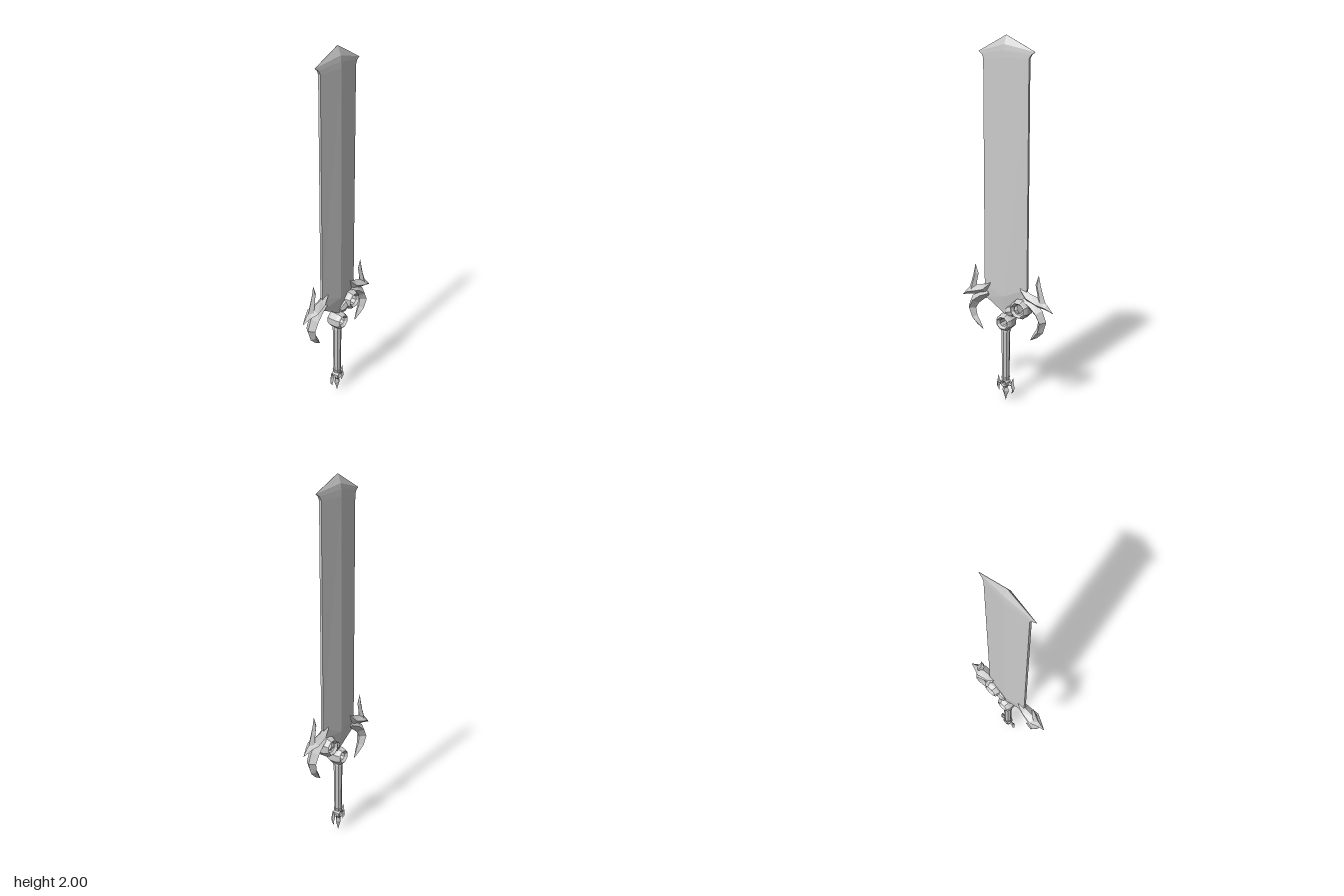
import * as THREE from 'three';

const material = new THREE.MeshStandardMaterial({ color: 0xcccccc, flatShading: true });

function part(name, geometry, x = 0, y = 0, z = 0) {
  const mesh = new THREE.Mesh(geometry, material);
  mesh.name = name;
  mesh.position.set(x, y, z);
  return mesh;
}

// Closed solid through equal-length loops of [x, y, z] points
function loft(loops) {
  const n = loops[0].length;
  const tris = [];
  for (let i = 0; i < loops.length - 1; i++) {
    for (let j = 0; j < n; j++) {
      const k = (j + 1) % n;
      const [a, b, c, d] = [loops[i][j], loops[i][k], loops[i + 1][k], loops[i + 1][j]];
      tris.push([a, b, c], [a, c, d]);
    }
  }
  const last = loops[loops.length - 1];
  for (let j = 1; j < n - 1; j++) {
    tris.push([loops[0][0], loops[0][j + 1], loops[0][j]], [last[0], last[j], last[j + 1]]);
  }
  // Turn the faces outward if the enclosed volume comes out negative
  const v = (p) => new THREE.Vector3(...p);
  const volume = tris.reduce((sum, [a, b, c]) => sum + v(a).dot(v(b).cross(v(c))), 0);
  if (volume < 0) tris.forEach((t) => t.reverse());
  const geometry = new THREE.BufferGeometry();
  geometry.setAttribute('position', new THREE.Float32BufferAttribute(tris.flat(2), 3));
  geometry.computeVertexNormals();
  return geometry;
}

// Diamond-section horn along [x, y, halfWidth, halfDepth] stations; side mirrors x
function horn(stations, side = 1) {
  return loft(stations.map(([x, y, w, d], i) => {
    const p = stations[Math.max(i - 1, 0)];
    const q = stations[Math.min(i + 1, stations.length - 1)];
    const length = Math.hypot(q[0] - p[0], q[1] - p[1]);
    const nx = -(q[1] - p[1]) / length * w;
    const ny = (q[0] - p[0]) / length * w;
    return [
      [side * (x + nx), y + ny, 0], [side * x, y, d],
      [side * (x - nx), y - ny, 0], [side * x, y, -d],
    ];
  }));
}

// Chamfered eight-sided ring with its hole along z
function ring(inner, outer, depth) {
  const mid = inner + (outer - inner) * 0.45;
  const profile = [
    [inner, -depth * 0.7], [mid, -depth], [outer - 0.008 * outer / 0.05, -depth * 0.9], [outer, -depth * 0.5],
    [outer, depth * 0.5], [outer - 0.008 * outer / 0.05, depth * 0.9], [mid, depth], [inner, depth * 0.7],
    [inner, -depth * 0.7],
  ].map(([r, y]) => new THREE.Vector2(r, y));
  return new THREE.LatheGeometry(profile, 8, Math.PI / 8).rotateX(Math.PI / 2);
}

function createBlade() {
  // [left x, left y, ridge y, ridge depth, right x, right y, edge half thickness]
  const rows = [
    [-0.13, 0.59, 0.515, 0.012, 0.125, 0.62, 0.005],
    [-0.138, 0.66, 0.62, 0.026, 0.135, 0.68, 0.007],
    [-0.138, 1.885, 1.89, 0.024, 0.138, 1.885, 0.007],
    [-0.15, 1.905, 1.925, 0.023, 0.15, 1.905, 0.005],
    [-0.172, 1.918, 1.955, 0.02, 0.172, 1.918, 0.001],
    [-0.002, 2, 2, 0.001, 0.002, 2, 0.001],
  ];
  return part('blade', loft(rows.map(([lx, ly, cy, d, rx, ry, e]) => [
    [lx, ly, -e], [lx, ly, e], [0, cy, d], [rx, ry, e], [rx, ry, -e], [0, cy, -d],
  ])));
}

function createWing(side) {
  const wing = new THREE.Group();
  wing.name = side > 0 ? 'leftGuardWing' : 'rightGuardWing';
  wing.add(
    part('wingSpike', horn([
      [0.292, 0.573, 0.001, 0.001], [0.25, 0.6, 0.016, 0.02], [0.21, 0.615, 0.026, 0.038],
      [0.14, 0.635, 0.026, 0.028], [0.105, 0.668, 0.018, 0.018], [0.075, 0.712, 0.001, 0.001],
    ], side)),
    part('lowerHorn', horn([
      [0.11, 0.615, 0.018, 0.018], [0.16, 0.595, 0.026, 0.028], [0.205, 0.56, 0.028, 0.034],
      [0.228, 0.512, 0.025, 0.032], [0.213, 0.458, 0.021, 0.024], [0.185, 0.425, 0.015, 0.014],
      [0.155, 0.393, 0.001, 0.001],
    ], side)),
    part('upperProng', horn([
      [0.225, 0.61, 0.025, 0.02], [0.213, 0.665, 0.017, 0.015],
      [0.2, 0.715, 0.016, 0.011], [0.204, 0.766, 0.001, 0.001],
    ], side)),
  );
  return wing;
}

function createPommel() {
  const pommel = new THREE.Group();
  pommel.name = 'pommel';
  pommel.add(part('pommelRing', ring(0.011, 0.027, 0.022), 0, 0.105));
  for (const side of [1, -1]) {
    pommel.add(
      part('pommelFluke', horn([
        [0.05, 0.138, 0.001, 0.001], [0.045, 0.115, 0.008, 0.008], [0.046, 0.09, 0.012, 0.012],
        [0.05, 0.068, 0.007, 0.007], [0.04, 0.048, 0.001, 0.001],
      ], side)),
      part('flukeArm', horn([[0.02, 0.1, 0.009, 0.01], [0.045, 0.098, 0.01, 0.01]], side)),
    );
  }
  pommel.add(part('pommelSpike', horn([
    [0, 0.085, 0.012, 0.012], [0, 0.056, 0.022, 0.017], [0, 0.03, 0.01, 0.009], [0, 0, 0.001, 0.001],
  ])));
  pommel.position.x = -0.005;
  return pommel;
}

export function createModel() {
  const sword = new THREE.Group();
  sword.name = 'sword';
  sword.add(createBlade(), createWing(1), createWing(-1), createPommel());

  // Joint between grip and guard
  sword.add(part('gripRing', ring(0.023, 0.05, 0.044), 0, 0.472));
  sword.add(part('guardRing', ring(0.03, 0.056, 0.046), 0.098, 0.565));
  const link = new THREE.LatheGeometry(
    [[0, -0.04], [0.024, -0.04], [0.034, -0.018], [0.034, 0.012], [0.026, 0.045], [0, 0.045]]
      .map(([r, y]) => new THREE.Vector2(r, y)), 8);
  const joint = part('jointLink', link, 0.045, 0.545);
  joint.rotation.z = -1.2;
  sword.add(joint);

  // Grip with end collars
  sword.add(part('grip', new THREE.CylinderGeometry(0.025, 0.021, 0.31, 8), -0.004, 0.28));
  sword.add(part('upperCollar', new THREE.CylinderGeometry(0.024, 0.028, 0.02, 8), -0.003, 0.425));
  sword.add(part('lowerCollar', new THREE.CylinderGeometry(0.025, 0.022, 0.016, 8), -0.005, 0.134));
  return sword;
}
